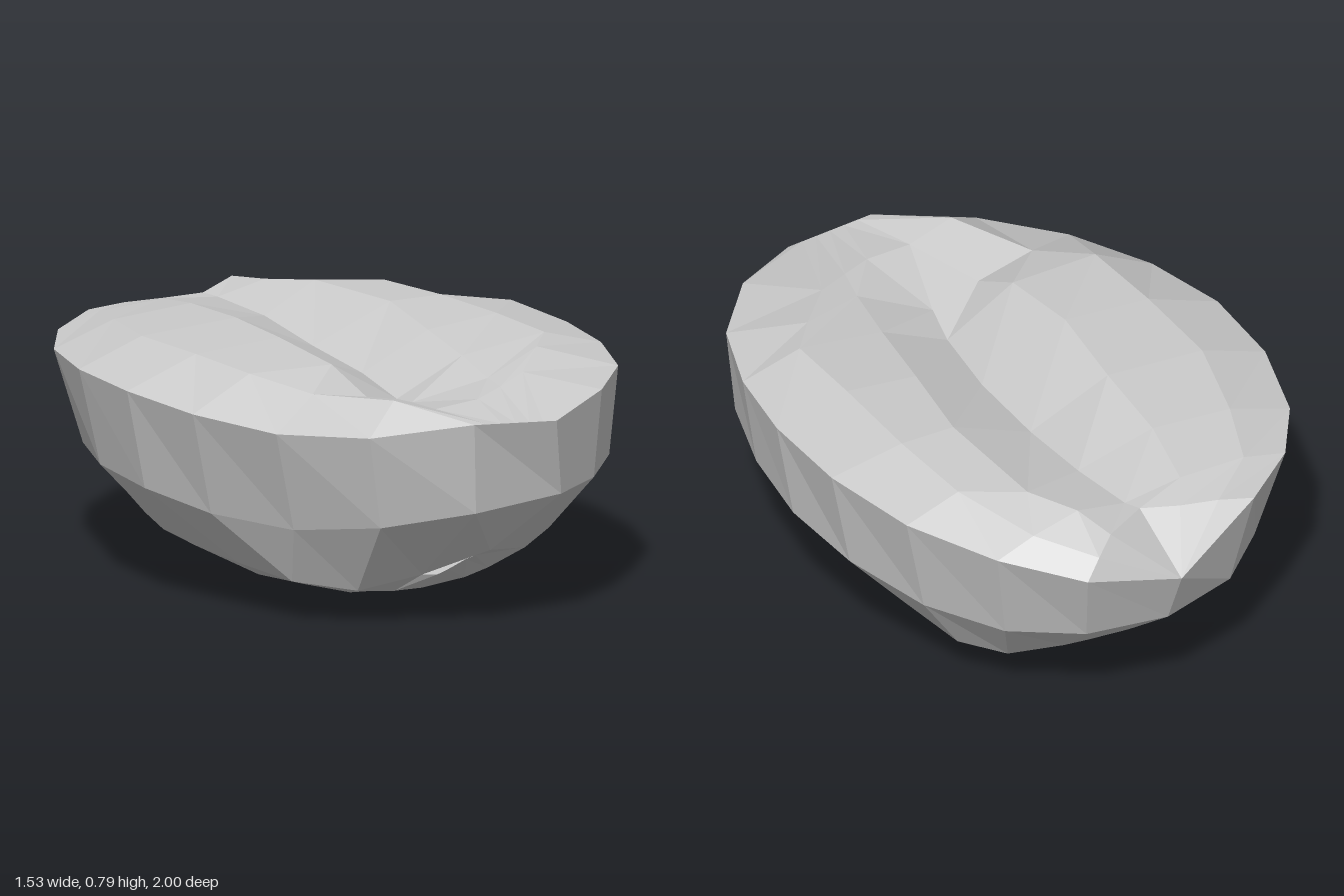
import * as THREE from 'three';

// Three outlines, each as a back tip plus left and right points from back to front: [x, y, z]
const rim = {
  tip: [0, .55, -1],
  left: [[-.31, .69, -.92], [-.52, .685, -.76], [-.66, .68, -.56], [-.75, .685, -.27], [-.77, .68, .04],
    [-.72, .66, .34], [-.6, .64, .63], [-.4, .645, .85], [-.11, .68, .99]],
  right: [[.3, .61, -.94], [.52, .67, -.77], [.68, .7, -.5], [.765, .73, -.2], [.765, .725, .12],
    [.72, .72, .39], [.62, .71, .65], [.43, .7, .86], [.18, .66, 1]]
};
const waist = {
  tip: [0, .36, -.92],
  left: [[-.26, .37, -.86], [-.44, .38, -.71], [-.58, .385, -.52], [-.68, .38, -.26], [-.7, .365, .03],
    [-.63, .33, .3], [-.5, .315, .57], [-.33, .345, .8], [-.08, .39, .95]],
  right: [[.25, .345, -.85], [.45, .34, -.7], [.6, .355, -.47], [.7, .395, -.2], [.73, .42, .08],
    [.69, .43, .36], [.6, .43, .63], [.42, .42, .83], [.24, .41, .93]]
};
const lower = {
  tip: [0, .175, -.69],
  left: [[-.2, .175, -.64], [-.33, .17, -.55], [-.43, .17, -.4], [-.49, .165, -.2], [-.5, .155, 0],
    [-.5, .15, .25], [-.45, .13, .48], [-.3, .11, .62], [-.13, .16, .72]],
  right: [[.2, .16, -.64], [.36, .145, -.57], [.46, .15, -.44], [.5, .165, -.2], [.51, .18, .05],
    [.5, .19, .35], [.42, .21, .57], [.24, .2, .72], [.04, .24, .84]]
};

// Top face: outer left, left crest, crease, right crest, outer right
// [x, y, optional z]
const topRows = [
  [[-.2, .705, -.89], [-.08, .71, -.86], [.04, .72, -.82], [.2, .735, -.91], [.25, .675, -.925]],
  [[-.37, .725], [-.14, .735], [.06, .715], [.23, .75], [.39, .715]],
  [[-.45, .75], [-.18, .77], [.08, .7], [.32, .765, -.62], [.5, .765]],
  [[-.53, .765], [-.2, .785], [.07, .665], [.34, .775], [.52, .775]],
  [[-.53, .77], [-.24, .79], [.05, .645], [.28, .755], [.52, .78]],
  [[-.52, .765], [-.23, .76], [0, .625], [.23, .735], [.52, .775]],
  [[-.4, .72, .52], [-.2, .685, .51], [-.03, .645, .5], [.18, .715, .6], [.42, .765, .5]],
  [[-.27, .735, .78], [-.12, .69, .78], [.04, .7, .77], [.15, .715, .72], [.27, .735, .66]]
];

const between = (a, b, t) => a.map((v, k) => THREE.MathUtils.lerp(v, b[k], t));

function flatMesh(name, triangles) {
  const geometry = new THREE.BufferGeometry();
  geometry.setAttribute('position', new THREE.Float32BufferAttribute(triangles.flat(2), 3));
  geometry.computeVertexNormals();
  const mesh = new THREE.Mesh(geometry,
    new THREE.MeshStandardMaterial({ color: 0xcccccc, flatShading: true, side: THREE.DoubleSide }));
  mesh.name = name;
  return mesh;
}

// Upward facing triangles for a grid of rows, closed by a fan to the back tip
function gridTriangles(tip, rows) {
  const tris = [];
  for (let c = 0; c < rows[0].length - 1; c++) {
    tris.push([tip, rows[0][c], rows[0][c + 1]]);
    for (let i = 0; i < rows.length - 1; i++) {
      const a = rows[i][c], b = rows[i][c + 1], d = rows[i + 1][c], e = rows[i + 1][c + 1];
      tris.push([a, d, b], [b, d, e]);
    }
  }
  return tris;
}

// Folded top face with a lengthwise crease
function buildTop() {
  const rows = rim.left.map((l, i) => {
    const r = rim.right[i];
    const inner = topRows[i]
      ? topRows[i].map(([x, y, z]) => [x, y, z ?? between(l, r, (x - l[0]) / (r[0] - l[0]))[2]])
      : [1, 2, 3, 4, 5].map((k) => between(l, r, k / 6));
    return [l, ...inner, r];
  });
  return flatMesh('creasedTop', gridTriangles(rim.tip, rows));
}

// Rounded sides from the rim down to the lower outline
function buildSides() {
  const rings = [rim, waist, lower].map(({ tip, left, right }) => [tip, ...right, ...[...left].reverse()]);
  const tris = [];
  rings[0].forEach((_, i, { length }) => {
    const j = (i + 1) % length;
    for (let k = 0; k < 2; k++) {
      const a = rings[k][i], b = rings[k][j], c = rings[k + 1][i], d = rings[k + 1][j];
      tris.push([a, b, c], [b, d, c]);
    }
  });
  return flatMesh('roundedSides', tris);
}

// Shallow bowl underneath, bridging the lower outline row by row
function buildBottom() {
  const rows = lower.left.map((l, i) => {
    const r = lower.right[i];
    const inner = [.22, .38, .64, .78].map((t) => {
      const [x, y, z] = between(l, r, t);
      const reach = Math.min(1, Math.hypot(x / .51, z / (z > 0 ? .8 : .69)));
      return [x, y * Math.max(0, (reach - .29) / .71) ** 1.4, z];
    });
    return [l, ...inner, r];
  });
  const facingDown = gridTriangles(lower.tip, rows).map(([a, b, c]) => [a, c, b]);
  return flatMesh('bottom', facingDown);
}

export function createModel() {
  const bean = new THREE.Group();
  bean.name = 'bean';
  bean.add(buildTop(), buildSides(), buildBottom());
  return bean;
}
